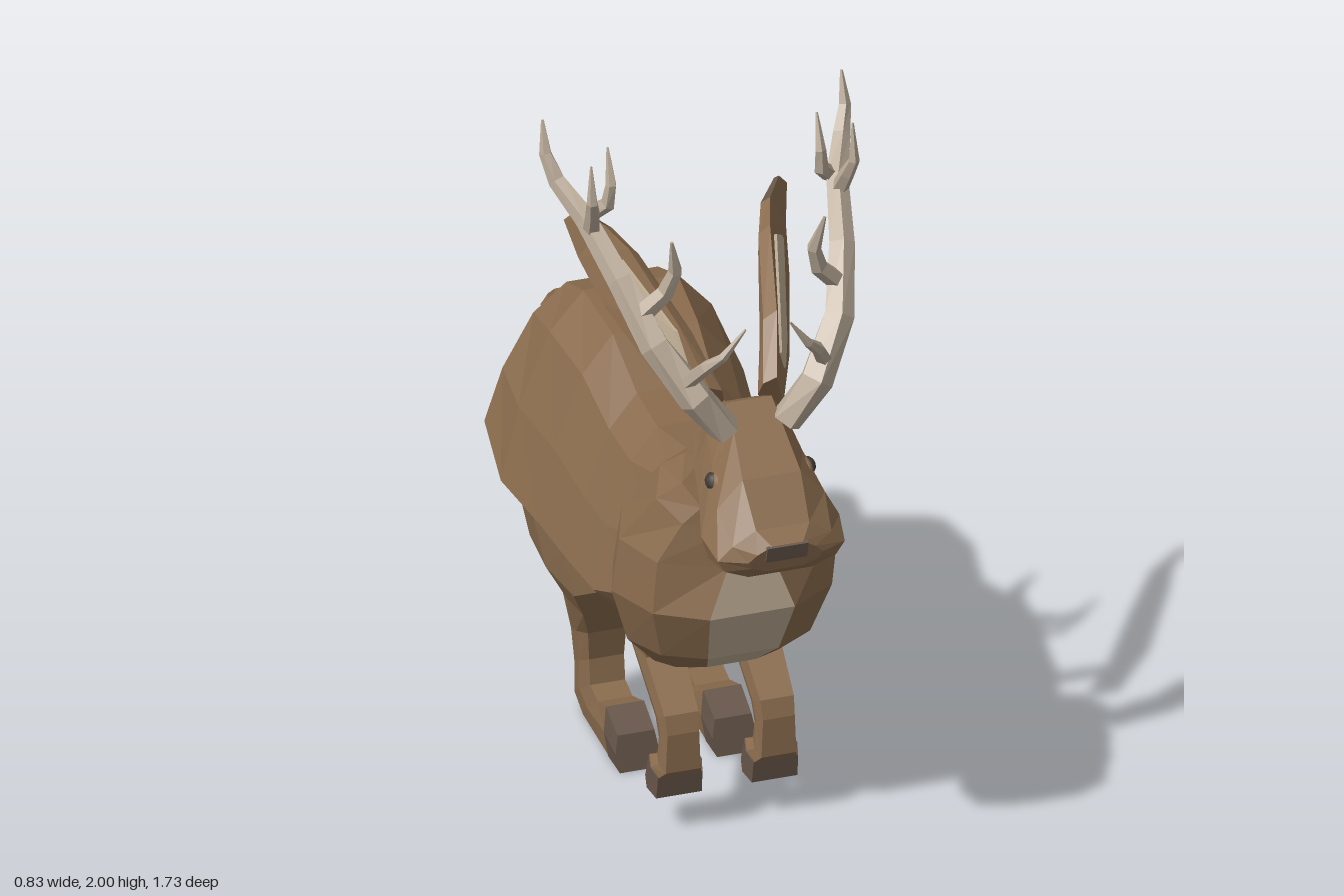
import * as THREE from 'three';

const mat = (name, color) => {
  const m = new THREE.MeshStandardMaterial({ color });
  m.name = name;
  return m;
};
const fur = mat('brown fur', 0x8a6c4e);
const cream = mat('cream fur', 0xbdac94);
const antlerBone = mat('antler bone', 0xbaab99);
const dark = mat('dark paws', 0x665549);
const noseSkin = mat('nose skin', 0x6a5a50);
const eyeBlack = mat('eye', 0x403b37);

const V = (x, y, z) => new THREE.Vector3(x, y, z);

// Flat-faced skin over closed rings with both ends capped; paint(i, j) picks faces for a second material.
function skin(name, rings, material, paint, second) {
  const lists = [[], []];
  const n = rings[0].length;
  const add = (k, a, b, c) => lists[k].push([a, b, c]);
  const key = (i, j) => (paint && paint(i, j, n) ? 1 : 0);
  for (let i = 0; i < rings.length - 1; i++) {
    for (let j = 0; j < n; j++) {
      const a = rings[i][j], b = rings[i][(j + 1) % n];
      const c = rings[i + 1][(j + 1) % n], d = rings[i + 1][j];
      add(key(i, j), a, b, c);
      add(key(i, j), a, c, d);
    }
  }
  for (const [ring, i, flip] of [[rings[0], -1, true], [rings[rings.length - 1], rings.length, false]]) {
    const mid = ring.reduce((s, p) => s.add(p), V(0, 0, 0)).divideScalar(n);
    for (let j = 0; j < n; j++) {
      const p = ring[j], q = ring[(j + 1) % n];
      flip ? add(key(i, j), mid, q, p) : add(key(i, j), mid, p, q);
    }
  }
  // Turn every face outwards
  const tris = [...lists[0], ...lists[1]];
  const volume = tris.reduce((s, [a, b, c]) => s + a.dot(V(0, 0, 0).crossVectors(b, c)), 0);
  const points = tris.flatMap(([a, b, c]) => (volume < 0 ? [a, c, b] : [a, b, c]));
  const geo = new THREE.BufferGeometry().setFromPoints(points);
  geo.computeVertexNormals();
  if (paint) {
    geo.addGroup(0, lists[0].length * 3, 0);
    geo.addGroup(lists[0].length * 3, lists[1].length * 3, 1);
  }
  const mesh = new THREE.Mesh(geo, paint ? [material, second] : material);
  mesh.name = name;
  return mesh;
}

// Cross-section from its +x half: [across, along]
const mirror = (half) => [...half, ...half.map(([x, t]) => [-x, t]).reverse()];
const CHEST = mirror([[0.38, 1], [0.8, 0.65], [1, 0], [0.8, -0.7], [0.35, -1]]);
const TORSO = mirror([[0.36, 1], [0.62, 0.7], [0.86, 0.1], [1, -0.5], [0.5, -1]]);
const HEAD = mirror([[0.42, 1], [0.78, 0.45], [1, -0.1], [0.88, -0.6], [0.5, -1]]);
const LIMB = mirror([[0.85, 1], [1, 0], [0.85, -1]]);
const PLATE = mirror([[1, 1], [1, -1]]);
const EAR = [[0.2, 1], [0.2, -1], [-0.6, -0.7], [-1, 0], [-0.6, 0.7]];

// Ring spanning two edge points: [az, ay, bz, by, halfWidth, ax, bx, pinch of the a edge]
const ringAt = (profile, side) => ([az, ay, bz, by, w, ax = 0, bx = ax, pinch = 1]) =>
  profile.map(([u, t]) => {
    const k = (1 - t) / 2;
    const across = u * w * (t === 1 ? pinch : 1);
    return V(side * (ax + (bx - ax) * k + across), ay + (by - ay) * k, az + (bz - az) * k);
  });
const loft = (name, rows, profile, material, side = 1, paint, second) =>
  skin(name, rows.map(ringAt(profile, side)), material, paint, second);

// Tapered five-sided branch through [x, y, z, radius]
function branch(name, pts, side) {
  const p = pts.map(([x, y, z]) => V(x * side, y, z));
  const rings = p.map((c, i) => {
    const dir = p[Math.min(i + 1, p.length - 1)].clone().sub(p[Math.max(i - 1, 0)]).normalize();
    const u = V(side, 0, 0).cross(dir).normalize();
    const v = dir.clone().cross(u);
    return Array.from({ length: 5 }, (_, k) => {
      const a = (k / 5) * Math.PI * 2;
      return c.clone().addScaledVector(u, Math.cos(a) * pts[i][3]).addScaledVector(v, Math.sin(a) * pts[i][3]);
    });
  });
  return skin(name, rings, antlerBone);
}

const mixRow = (a, b, k) => a.map((v, i) => v + (b[i] - v) * k);

export function createModel() {
  const model = new THREE.Group();
  model.name = 'antleredHare';

  // Body
  model.add(loft('torso', [
    [0.32, 1.09, 0.30, 0.54, 0.22], [0.10, 1.045, 0.12, 0.455, 0.275], [-0.05, 1.06, -0.03, 0.45, 0.29],
    [-0.22, 1.14, -0.22, 0.45, 0.315], [-0.42, 1.16, -0.41, 0.47, 0.35],
    [-0.57, 1.10, -0.58, 0.60, 0.34], [-0.695, 0.93, -0.695, 0.76, 0.17],
  ], TORSO, fur));

  // Chest and neck, with a pale bib on the front strip and underneath
  model.add(loft('chestAndNeck', [
    [0.40, 0.495, 0.18, 0.45, 0.17], [0.50, 0.58, 0.13, 0.55, 0.25], [0.575, 0.74, 0.10, 0.72, 0.30],
    [0.565, 0.88, 0.14, 0.90, 0.285, 0, 0, 0.58], [0.56, 0.98, 0.29, 1.09, 0.21],
    [0.57, 1.03, 0.37, 1.16, 0.155], [0.60, 1.10, 0.45, 1.285, 0.12],
  ], CHEST, fur, 1, (i, j, n) => i === -1 || (i < 3 && j === n - 1), cream));

  // Head
  model.add(loft('head', [
    [0.86, 1.105, 0.835, 1.02, 0.1], [0.82, 1.135, 0.80, 0.99, 0.17], [0.73, 1.235, 0.71, 0.955, 0.185],
    [0.62, 1.315, 0.60, 0.975, 0.155], [0.55, 1.36, 0.50, 1.02, 0.14], [0.46, 1.31, 0.39, 1.10, 0.11],
  ], HEAD, fur));
  const nose = new THREE.Mesh(new THREE.BoxGeometry(0.11, 0.05, 0.009), noseSkin);
  nose.name = 'nose';
  nose.position.set(0, 1.08, 0.854);
  nose.rotation.x = 0.286;
  model.add(nose);

  // Tail: brown top, dark underside
  model.add(loft('tailTop', [
    [-0.66, 0.92, -0.68, 0.76, 0.115], [-0.78, 0.955, -0.77, 0.80, 0.10], [-0.835, 0.91, -0.865, 0.835, 0.1],
  ], LIMB, fur));
  model.add(loft('tailUnderside', [
    [-0.69, 0.765, -0.865, 0.838, 0.105], [-0.765, 0.675, -0.80, 0.66, 0.07],
  ], LIMB, dark));

  const earRows = [
    [0.50, 1.38, 0.46, 1.27, 0.05, 0.08, 0.11], [0.375, 1.50, 0.34, 1.335, 0.052, 0.12, 0.165],
    [0.14, 1.61, 0.115, 1.44, 0.048, 0.18, 0.24], [0.04, 1.63, 0.0, 1.52, 0.04, 0.215, 0.27],
    [-0.03, 1.645, -0.055, 1.605, 0.02, 0.265, 0.295],
  ];
  // Pale strip between two fractions of the ear's height
  const panelRow = ([az, ay, bz, by, w, ax, bx], t0, t1) => {
    const at = (a, b, t) => a + (b - a) * t;
    const out = 0.2 * w + 0.004;
    return [at(az, bz, t0), at(ay, by, t0), at(az, bz, t1), at(ay, by, t1), 0.004,
      at(ax, bx, t0) + out, at(ax, bx, t1) + out];
  };

  for (const s of [1, -1]) {
    const side = s > 0 ? 'left' : 'right';

    // Ears, dark behind the tips
    model.add(loft(side + 'Ear', earRows, EAR, fur, s, (i, j) => i > 4 || (i === 3 && j > 0), dark));
    model.add(loft(side + 'InnerEar', [
      panelRow(mixRow(earRows[0], earRows[1], 0.5), 0.25, 0.65), panelRow(earRows[1], 0.08, 0.62),
      panelRow(earRows[2], 0.2, 0.6), panelRow(mixRow(earRows[2], earRows[3], 0.35), 0.5, 0.6),
    ], PLATE, cream, s));

    // Eyes with lids
    for (const [name, m, size, x] of [['EyeLid', fur, [0.02, 0.026, 0.045], 0.118], ['Eye', eyeBlack, [0.022, 0.024, 0.028], 0.126]]) {
      const ball = new THREE.Mesh(new THREE.IcosahedronGeometry(1, 1), m);
      ball.name = side + name;
      ball.scale.set(...size);
      ball.position.set(s * x, 1.19, 0.638);
      model.add(ball);
    }

    // Antlers
    const antler = new THREE.Group();
    antler.name = side + 'Antler';
    antler.add(
      branch('beam', [[0.08, 1.31, 0.6, 0.042], [0.16, 1.42, 0.605, 0.046], [0.245, 1.55, 0.53, 0.041],
        [0.295, 1.68, 0.40, 0.035], [0.335, 1.78, 0.24, 0.03], [0.38, 1.845, 0.14, 0.024],
        [0.40, 1.91, 0.105, 0.017], [0.40, 1.995, 0.08, 0.004]], s),
      branch('browTine', [[0.19, 1.46, 0.59, 0.022], [0.15, 1.54, 0.655, 0.018], [0.115, 1.58, 0.685, 0.013], [0.06, 1.66, 0.70, 0.003]], s),
      branch('middleTine', [[0.27, 1.61, 0.47, 0.028], [0.205, 1.68, 0.49, 0.024], [0.185, 1.75, 0.51, 0.019], [0.205, 1.855, 0.54, 0.004]], s),
      branch('outerTine', [[0.33, 1.76, 0.27, 0.024], [0.34, 1.83, 0.31, 0.02], [0.35, 1.88, 0.335, 0.015], [0.35, 1.985, 0.325, 0.003]], s),
      branch('innerTine', [[0.325, 1.78, 0.22, 0.024], [0.285, 1.83, 0.265, 0.02], [0.28, 1.89, 0.275, 0.015], [0.28, 1.985, 0.245, 0.003]], s),
    );
    model.add(antler);

    // Front legs
    model.add(loft(side + 'FrontLeg', [
      [0.26, 0.62, 0.05, 0.62, 0.07, 0.13], [0.25, 0.46, 0.10, 0.46, 0.06, 0.128], [0.385, 0.36, 0.31, 0.32, 0.053, 0.128],
      [0.40, 0.31, 0.33, 0.27, 0.05, 0.128], [0.40, 0.20, 0.33, 0.22, 0.055, 0.128], [0.37, 0.17, 0.30, 0.205, 0.068, 0.128],
    ], LIMB, fur, s));
    model.add(loft(side + 'FrontPaw', [
      [0.375, 0.175, 0.30, 0.205, 0.07, 0.128], [0.365, 0.11, 0.275, 0.13, 0.072, 0.128],
    ], LIMB, dark, s));

    // Hind legs
    model.add(loft(side + 'HindLeg', [
      [-0.12, 0.72, -0.50, 0.76, 0.08, 0.17], [-0.09, 0.60, -0.51, 0.63, 0.11, 0.195], [-0.05, 0.49, -0.41, 0.47, 0.11, 0.18],
      [-0.13, 0.38, -0.32, 0.38, 0.085, 0.15], [-0.20, 0.28, -0.34, 0.22, 0.06, 0.135], [-0.22, 0.19, -0.34, 0.12, 0.055, 0.13],
      [-0.21, 0.12, -0.34, 0.03, 0.055, 0.13], [-0.15, 0.105, -0.27, 0.0, 0.055, 0.13], [-0.07, 0.135, -0.05, 0.0, 0.058, 0.13],
    ], LIMB, fur, s));
    model.add(loft(side + 'HindPaw', [
      [-0.07, 0.136, -0.05, 0.0, 0.06, 0.13], [0.02, 0.10, 0.04, 0.0, 0.058, 0.13],
    ], LIMB, dark, s));
  }
  return model;
}
